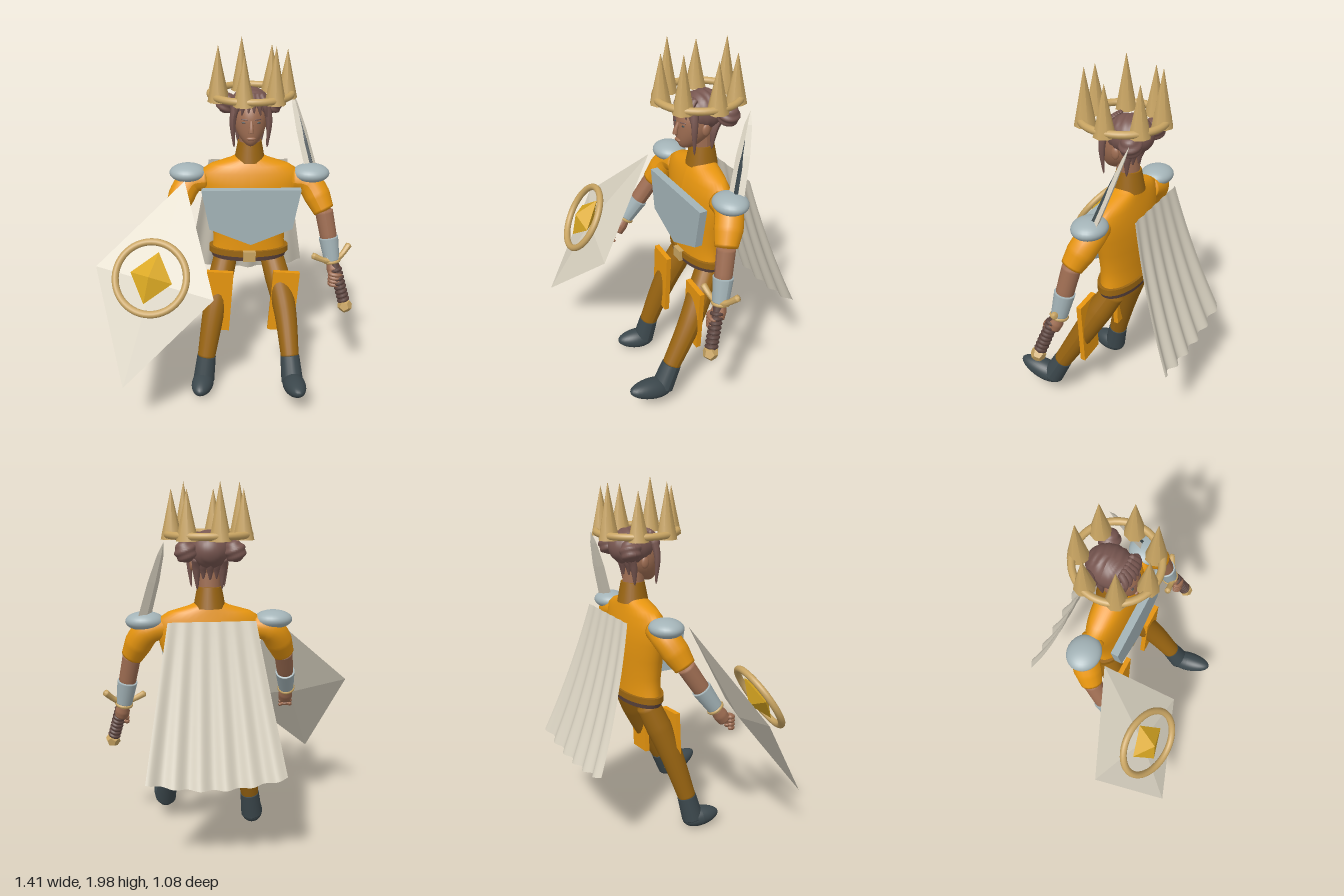
import * as THREE from 'three';

const V = (a) => new THREE.Vector3(...a);
const mat = (name, color, extra = {}) => Object.assign(new THREE.MeshStandardMaterial({ color, ...extra }), { name });

const M = {
  orange: mat('bright orange cloth', 0xe8960f),
  ochre: mat('dark ochre cloth', 0x9a6511),
  skin: mat('skin', 0x9e6d52),
  hair: mat('hair brown', 0x775650),
  steel: mat('pale steel', 0xa3b3b7),
  gold: mat('pale gold', 0xc8a462),
  cream: mat('cream', 0xd9d2c1, { side: THREE.DoubleSide }),
  slate: mat('dark slate', 0x3c484d),
  gem: mat('yellow gem', 0xdaa822),
  leather: mat('dark leather', 0x5c443e),
};

function add(parent, name, geo, material, pos = [0, 0, 0], scale = [1, 1, 1], rot = [0, 0, 0]) {
  const m = new THREE.Mesh(geo, material);
  m.name = name;
  m.position.set(...pos);
  m.scale.set(...scale);
  m.rotation.set(...rot);
  parent.add(m);
  return m;
}

const ball = (parent, name, material, pos, scale) => add(parent, name, new THREE.SphereGeometry(1, 28, 18), material, pos, scale);

// Move every vertex of a geometry by a rule
function warp(geo, rule) {
  const p = geo.attributes.position, v = new THREE.Vector3();
  for (let i = 0; i < p.count; i++) {
    rule(v.fromBufferAttribute(p, i), i);
    p.setXYZ(i, v.x, v.y, v.z);
  }
  geo.computeVertexNormals();
  return geo;
}

// Tapered limb along a path, with closed ends
function limb(parent, name, material, pts, radii, n = 24, sides = 16) {
  const curve = new THREE.CatmullRomCurve3(pts.map(V));
  const geo = warp(new THREE.TubeGeometry(curve, n, 1, sides), (v, i) => {
    const k = Math.floor(i / (sides + 1)), t = (k / n) * (radii.length - 1);
    const j = Math.min(Math.floor(t), radii.length - 2);
    const r = k === 0 || k === n ? 0 : THREE.MathUtils.lerp(radii[j], radii[j + 1], t - j);
    const c = curve.getPointAt(k / n);
    v.sub(c).multiplyScalar(r).add(c);
  });
  return add(parent, name, geo, material);
}

// Stacked ellipses from the bottom up: [y, half width, half depth, centre z]
function stack(rings, cx, sides = 40) {
  const geo = new THREE.CylinderGeometry(1, 1, 1, sides, rings.length - 1, true);
  return warp(geo, (v) => {
    const [y, w, d, z] = rings[Math.round((v.y + 0.5) * (rings.length - 1))];
    v.set(cx + v.x * w, y, z + v.z * d);
  });
}

function framed(name, origin, x, y, z) {
  const g = new THREE.Group();
  g.name = name;
  g.setRotationFromMatrix(new THREE.Matrix4().makeBasis(x, y, z));
  g.position.copy(origin);
  return g;
}

const CX = 0.127;

function buildHead(g) {
  const skull = warp(new THREE.SphereGeometry(1, 36, 28), (v) => {
    const low = Math.max(0, -v.y);
    v.set(v.x * 0.086 * (1 - 0.25 * low * low), v.y * 0.13, v.z * 0.105 + 0.05 * low * low);
  });
  add(g, 'head', skull, M.skin, [CX, 1.59, -0.09]);
  limb(g, 'neck', M.skin, [[CX, 1.38, -0.13], [CX, 1.58, -0.12]], [0.06, 0.058]);
  limb(g, 'nose', M.skin, [[CX, 1.61, 0.008], [CX, 1.57, 0.024], [CX, 1.545, 0.027]], [0.008, 0.011, 0.015]);
  ball(g, 'lips', M.skin, [CX, 1.513, 0.012], [0.025, 0.009, 0.011]);
  for (const s of [-1, 1]) {
    ball(g, 'ear', M.skin, [CX + s * 0.088, 1.575, -0.1], [0.013, 0.032, 0.022]);
    ball(g, 'eye', M.slate, [CX + s * 0.036, 1.597, 0.003], [0.014, 0.004, 0.005]);
    limb(g, 'eyebrow', M.hair, [[CX + s * 0.017, 1.613, 0.012], [CX + s * 0.055, 1.615, -0.005]], [0.004, 0.003], 8, 6);
    // Ridged hair bun and loose lock beside the face
    const bun = warp(new THREE.SphereGeometry(0.056, 32, 24), (v) => v.multiplyScalar(1 + 0.06 * Math.sin(v.y * 150 + v.x * 60)));
    add(g, 'hairBun', bun, M.hair, [CX + s * 0.125, 1.65, -0.205]);
    limb(g, 'sideLock', M.hair, [[CX + s * 0.075, 1.7, -0.04], [CX + s * 0.095, 1.6, -0.03], [CX + s * 0.088, 1.45, -0.035]], [0.024, 0.016, 0.004], 16, 8);
    for (let i = 0; i < 3; i++) {
      const x = s * (0.012 + i * 0.028);
      limb(g, 'fringe', M.hair, [[CX + x * 0.7, 1.735, -0.06], [CX + x, 1.69, -0.006 - i * 0.007], [CX + x * 1.25, 1.645 - i * 0.015, 0.006 - i * 0.013]], [0.018, 0.016, 0.003], 14, 8);
    }
  }
  const cap = warp(new THREE.SphereGeometry(1, 40, 48), (v) => {
    const k = 1 + 0.03 * Math.sin(v.z * 20 + Math.abs(v.x) * 3);
    v.set(v.x * 0.108 * k, v.y * 0.1 * k, v.z * 0.125);
  });
  add(g, 'hairCap', cap, M.hair, [CX, 1.652, -0.135]);
  for (let i = -2; i <= 2; i++)
    limb(g, 'napeHair', M.hair, [[CX + i * 0.036, 1.63, -0.215 + Math.abs(i) * 0.012], [CX + i * 0.034, 1.56, -0.19 + Math.abs(i) * 0.015], [CX + i * 0.032, 1.5 - (Math.abs(i) === 2 ? 0.05 : 0), -0.18 + Math.abs(i) * 0.015]], [0.026, 0.02, 0.004], 14, 8);

  // Crown: ring with seven alternating spikes
  add(g, 'crownRing', new THREE.TorusGeometry(0.214, 0.019, 12, 48), M.gold, [CX, 1.73, -0.1], [1, 1, 1], [Math.PI / 2, 0, 0]);
  for (let i = 0; i < 7; i++) {
    const a = (i * Math.PI * 2) / 7, h = i % 2 ? 0.29 : 0.255;
    add(g, 'crownSpike', new THREE.ConeGeometry(0.056, h, 8), M.gold, [CX + 0.19 * Math.cos(a), 1.705 + h / 2, -0.1 + 0.19 * Math.sin(a)]);
  }
}

function buildBody(g) {
  add(g, 'torso', stack([
    [0.83, 0.21, 0.098, -0.11], [0.88, 0.202, 0.098, -0.11], [0.95, 0.203, 0.1, -0.11], [1.06, 0.228, 0.106, -0.112],
    [1.16, 0.262, 0.108, -0.115], [1.24, 0.278, 0.102, -0.115], [1.3, 0.27, 0.09, -0.117], [1.335, 0.215, 0.08, -0.12],
    [1.365, 0.11, 0.07, -0.125], [1.385, 0.07, 0.058, -0.13]], CX), M.orange);
  add(g, 'collar', new THREE.CylinderGeometry(0.064, 0.085, 0.11, 28), M.ochre, [CX, 1.41, -0.13]);
  add(g, 'belt', new THREE.CylinderGeometry(1, 1, 0.035, 40), M.ochre, [CX, 0.835, -0.11], [0.226, 1, 0.112]);
  add(g, 'beltLower', new THREE.CylinderGeometry(1, 0.95, 0.03, 40), M.leather, [CX, 0.805, -0.11], [0.22, 1, 0.11]);
  add(g, 'buckle', new THREE.BoxGeometry(0.07, 0.06, 0.03), M.gold, [CX, 0.825, 0]);

  // Chest plate
  const plate = new THREE.Shape([[-0.27, 1.232], [-0.228, 1.005], [0, 0.91], [0.228, 1.005], [0.27, 1.232]].map(([x, y]) => new THREE.Vector2(x, y)));
  add(g, 'chestPlate', new THREE.ExtrudeGeometry(plate, { depth: 0.042, bevelEnabled: false }), M.steel, [CX + 0.005, 0, -0.007]);

  // Cape flaring down with growing folds
  const cape = warp(new THREE.PlaneGeometry(1, 1, 72, 16), (v) => {
    const s = v.x, t = 0.5 - v.y, fold = Math.sin(s * Math.PI * 11 + 0.6);
    v.set(CX + s * (0.45 + 0.265 * t), 1.305 - 0.81 * t + 0.2 * s * s * t, -0.285 - 0.07 * t - 0.175 * t * (0.6 + 0.4 * t) + 0.014 * fold * (0.15 + 0.85 * t));
  });
  add(g, 'cape', cape, M.cream);
}

function buildArm(g, side, shoulder, elbow, wrist, hand) {
  const arm = new THREE.Group();
  arm.name = side + 'Arm';
  g.add(arm);
  const S = V(shoulder), E = V(elbow), W = V(wrist), H = V(hand);
  const inner = [THREE.MathUtils.lerp(shoulder[0], CX, 0.35), 1.25, shoulder[2]];
  limb(arm, 'sleeve', M.orange, [inner, [S.x - (S.x - CX) * 0.04, S.y - 0.055, S.z], elbow], [0.06, 0.073, 0.074, 0.057]);
  ball(arm, 'pauldron', M.steel, shoulder, [0.102, 0.05, 0.09]);
  limb(arm, 'forearm', M.skin, [E.clone().lerp(S, 0.1).toArray(), E.clone().lerp(W, 0.5).toArray(), wrist], [0.05, 0.047, 0.033]);
  limb(arm, 'bracer', M.steel, [E.clone().lerp(W, 0.48).toArray(), wrist], [0.055, 0.043]);
  const cuff = add(arm, 'bracerTrim', new THREE.TorusGeometry(0.04, 0.01, 8, 24), M.gold, wrist);
  cuff.quaternion.setFromUnitVectors(V([0, 0, 1]), W.clone().sub(E).normalize());
  // Closed hand with curled fingers
  limb(arm, 'palm', M.skin, [wrist, hand], [0.03, 0.04, 0.036], 12);
  for (let i = 0; i < 4; i++) {
    const y = H.y + 0.03 - i * 0.021;
    limb(arm, 'finger', M.skin, [[H.x - 0.03, y, H.z], [H.x - 0.032, y - 0.004, H.z + 0.03], [H.x + 0.012, y - 0.008, H.z + 0.038], [H.x + 0.03, y - 0.01, H.z + 0.018]], [0.013, 0.012, 0.01], 12, 8);
  }
}

function buildLeg(g, side, hip, knee, ankle, heel, toe, tasset) {
  const leg = new THREE.Group();
  leg.name = side + 'Leg';
  g.add(leg);
  limb(leg, 'trouserLeg', M.ochre, [hip, knee, ankle], [0.066, 0.072, 0.066, 0.058, 0.05], 36, 20);
  limb(leg, 'bootShaft', M.slate, [V(ankle).lerp(V(knee), 0.1).toArray(), heel], [0.054, 0.058, 0.062], 40);
  // One rounded foot, widest at the instep and tapering to the toe
  const H = V(heel), along = V(toe).sub(H), length = along.length(), foot = new THREE.SphereGeometry(1, 28, 20);
  warp(foot, (v) => {
    const t = (v.z + 1) / 2, wide = 1 - 0.2 * t;
    v.set(v.x * 0.069 * wide, v.y * (v.y > 0 ? 0.075 - 0.03 * t : 0.06 - 0.012 * t), -0.062 + t * (length + 0.115));
  });
  const mesh = add(leg, 'bootFoot', foot, M.slate, heel);
  mesh.lookAt(V(toe));
  add(leg, 'thighPlate', new THREE.BoxGeometry(0.15, 0.375, 0.028), M.orange, tasset, [1, 1, 1], [0, 0, -0.07]);
}

function buildShield(g) {
  const up = V([0.145, 0.4775, -0.2725]), across = V([0.315, -0.0575, 0.09]);
  const a = across.clone().normalize(), n = a.clone().cross(up).normalize(), u = n.clone().cross(a);
  const shield = framed('shield', V([-0.39, 0.803, 0.272]), a, u, n);
  g.add(shield);
  add(shield, 'shieldBoard', new THREE.OctahedronGeometry(1), M.cream, [0, 0, 0], [across.length(), up.length(), 0.05]);
  add(shield, 'shieldRing', new THREE.TorusGeometry(0.188, 0.019, 12, 48), M.gold, [0, 0.02, 0.105]);
  add(shield, 'shieldGem', new THREE.OctahedronGeometry(1), M.gem, [0, 0.02, 0.095], [0.115, 0.14, 0.06]);
}

function buildSword(g) {
  const base = V([0.665, 0.56, 0.11]), d = V([0.36, 1.71, -0.26]).sub(base).normalize();
  const n = V([0.93, 0.15, -0.33]).cross(d).normalize(), w = d.clone().cross(n);
  const sword = framed('sword', base, w, d, n);
  g.add(sword);
  const profile = [[0.042, 0], [0.043, 0.5], [0.036, 0.75], [0.02, 0.9], [0, 0.97]].map(([x, y]) => new THREE.Vector2(x, y));
  const blade = (start, sweep, sides) => {
    const geo = new THREE.LatheGeometry(profile, sides, start, sweep).toNonIndexed();
    geo.computeVertexNormals();
    return geo;
  };
  add(sword, 'blade', blade(0, Math.PI * 2, 4), M.cream, [0, 0.27, 0], [1, 1, 0.42], [0, 0.3, 0]);
  add(sword, 'bladeGroove', blade(-Math.PI / 2, Math.PI, 2), M.slate, [0, 0.27, 0], [0.6, 0.92, 0.6], [0, 0.3, 0]);
  limb(sword, 'crossguard', M.gold, [[-0.12, 0.335, 0], [-0.05, 0.285, 0], [0, 0.272, 0], [0.05, 0.285, 0], [0.12, 0.335, 0]], [0.019, 0.015, 0.02, 0.015, 0.019], 30, 10);
  add(sword, 'grip', new THREE.CylinderGeometry(0.024, 0.026, 0.25, 16), M.leather, [0, 0.145, 0]);
  for (let i = 0; i < 8; i++)
    add(sword, 'gripWrap', new THREE.TorusGeometry(0.025, 0.011, 8, 20), M.leather, [0, 0.04 + i * 0.025, 0], [1, 1, 1], [Math.PI / 2, 0.12, 0]);
  add(sword, 'pommel', new THREE.DodecahedronGeometry(0.042), M.gold, [0, 0.005, 0]);
}

export function createModel() {
  const g = new THREE.Group();
  g.name = 'crownedWarrior';
  buildHead(g);
  buildBody(g);
  buildArm(g, 'left', [0.465, 1.285, -0.1], [0.545, 1.075, -0.035], [0.592, 0.8, 0.015], [0.612, 0.72, 0.045]);
  buildArm(g, 'right', [-0.213, 1.285, -0.12], [-0.29, 1.075, -0.045], [-0.335, 0.84, 0.11], [-0.34, 0.755, 0.17]);
  buildLeg(g, 'left', [0.255, 0.8, -0.12], [0.33, 0.52, 0.03], [0.36, 0.25, 0.18], [0.37, 0.14, 0.235], [0.383, 0.185, 0.385], [0.325, 0.545, 0.014]);
  buildLeg(g, 'right', [0.0, 0.8, -0.12], [-0.07, 0.5, -0.01], [-0.125, 0.19, 0.08], [-0.138, 0.068, 0.105], [-0.155, 0.078, 0.21], [-0.05, 0.55, 0.014]);
  buildShield(g);
  buildSword(g);
  return g;
}
